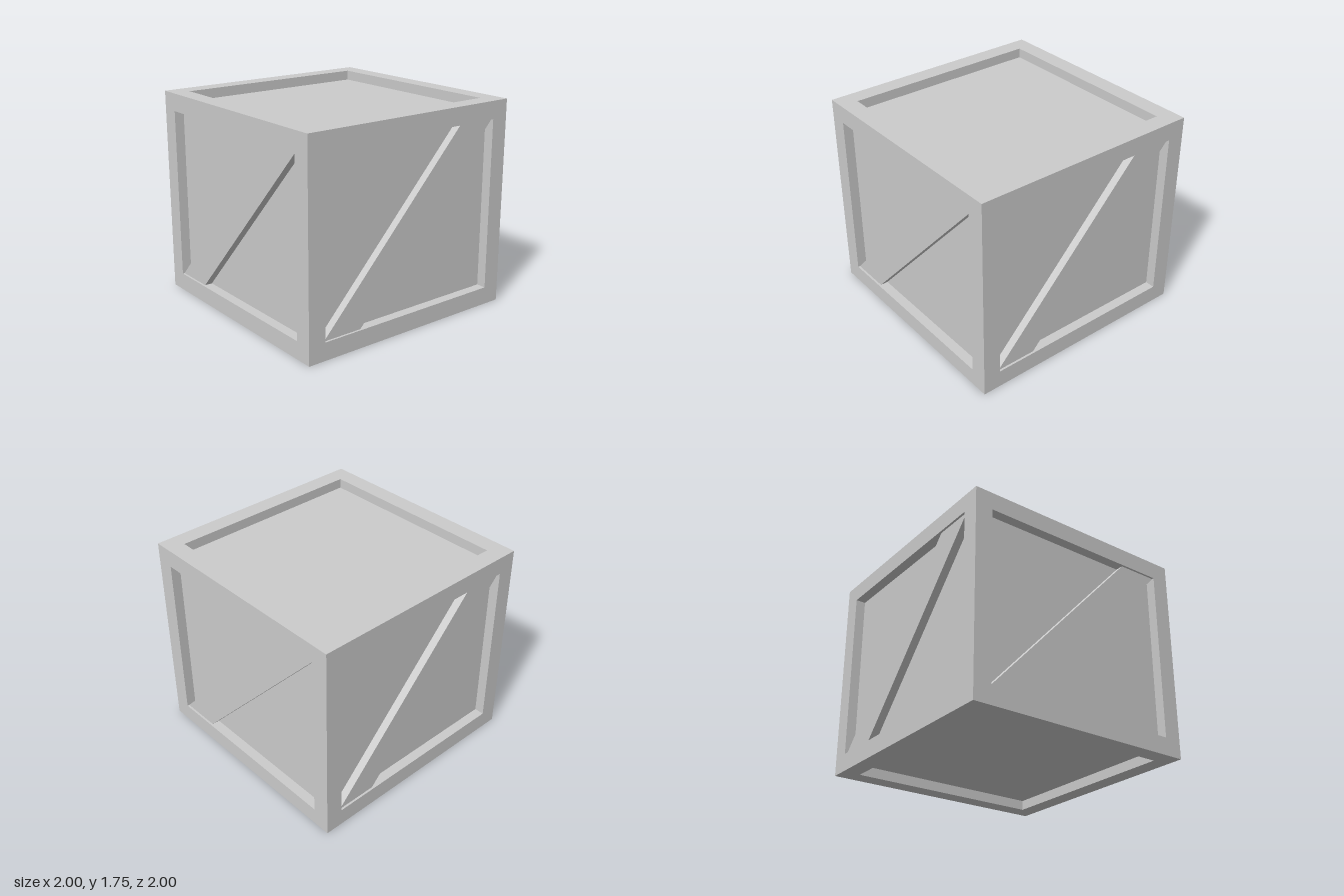
import * as THREE from 'three';

const W = 2, H = 1.75, BAR = 0.15, RECESS = 0.084, BRACE_INSET = 0.018;

export function createModel() {
  const crate = new THREE.Group();
  crate.name = 'crate';
  const material = new THREE.MeshStandardMaterial({ color: 0xcccccc, flatShading: true });

  const add = (parent, name, geometry, x = 0, y = 0, z = 0) => {
    const mesh = new THREE.Mesh(geometry, material);
    mesh.name = name;
    mesh.position.set(x, y, z);
    parent.add(mesh);
    return mesh;
  };

  // Recessed panels: one solid core set back on all six sides
  add(crate, 'panels', new THREE.BoxGeometry(W - 2 * RECESS, H - 2 * RECESS, W - 2 * RECESS), 0, H / 2, 0);

  // Diagonal brace: a parallelogram board running from corner to corner of the opening
  const inner = W / 2 - BAR, low = BAR, high = H - BAR, foot = 0.35;
  const braceShape = new THREE.Shape([
    new THREE.Vector2(-inner, low),
    new THREE.Vector2(-inner + foot, low),
    new THREE.Vector2(inner, high),
    new THREE.Vector2(inner - foot, high),
  ]);
  const braceGeometry = new THREE.ExtrudeGeometry(braceShape, {
    depth: RECESS - BRACE_INSET,
    bevelEnabled: false,
  });
  const postGeometry = new THREE.BoxGeometry(BAR, H, BAR);
  const railGeometry = new THREE.BoxGeometry(W - 2 * BAR, BAR, BAR);
  const edge = (W - BAR) / 2;

  // Four identical sides, each with a corner post, two rails and a brace
  ['front', 'left', 'back', 'right'].forEach((sideName, i) => {
    const side = new THREE.Group();
    side.name = sideName + 'Side';
    side.rotation.y = (i * Math.PI) / 2;
    add(side, 'cornerPost', postGeometry, edge, H / 2, edge);
    add(side, 'bottomRail', railGeometry, 0, BAR / 2, edge);
    add(side, 'topRail', railGeometry, 0, H - BAR / 2, edge);
    add(side, 'diagonalBrace', braceGeometry, 0, 0, W / 2 - RECESS);
    crate.add(side);
  });

  return crate;
}
